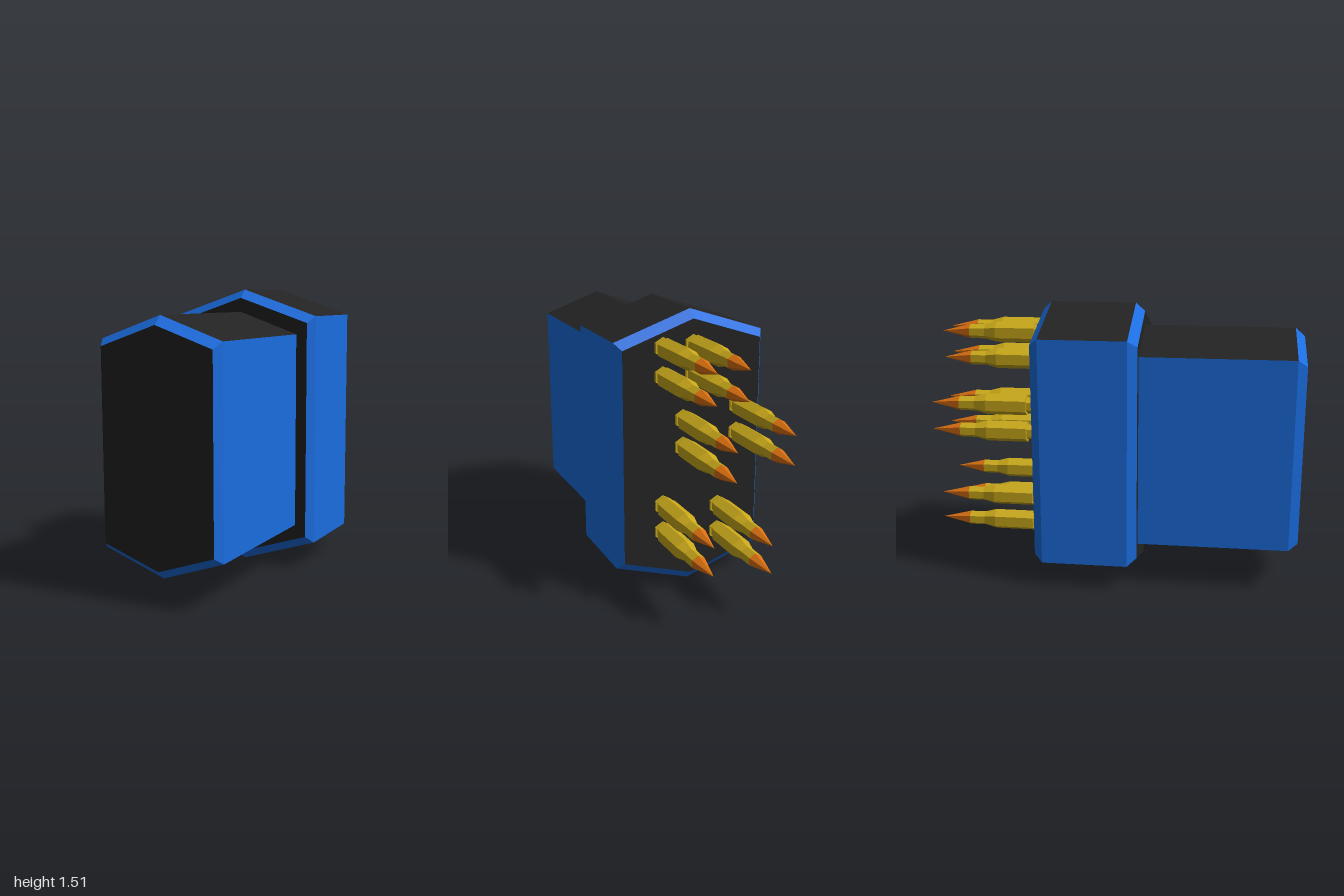
import * as THREE from 'three';

const mat = (color) => new THREE.MeshStandardMaterial({ color, flatShading: true });
const blue = mat(0x1a6de0), dark = mat(0x232323), brass = mat(0xc9a81a), orange = mat(0xd96f10);

// Tall hexagon, counter-clockwise seen from the front
const hexagon = (w, low, shoulderLow, shoulderHigh, high, z) => [
  [0, low, z], [w, shoulderLow, z], [w, shoulderHigh, z],
  [0, high, z], [-w, shoulderHigh, z], [-w, shoulderLow, z],
];

// Joins cross-sections from back to front; blue sides and bevels, dark slopes and caps
function hexBlock(name, rings, bodyIndex) {
  const bluePos = [], darkPos = [];
  const quad = (out, a, b, c, d) => out.push(...a, ...b, ...c, ...a, ...c, ...d);
  for (let r = 0; r < rings.length - 1; r++) {
    for (let i = 0; i < 6; i++) {
      const j = (i + 1) % 6;
      const isSide = i === 1 || i === 4;
      const out = r !== bodyIndex || isSide ? bluePos : darkPos;
      quad(out, rings[r][i], rings[r][j], rings[r + 1][j], rings[r + 1][i]);
    }
  }
  const f = rings[rings.length - 1], b = rings[0];
  for (const k of [0, 3]) {
    quad(darkPos, f[k], f[k + 1], f[k + 2], f[(k + 3) % 6]);
    quad(darkPos, b[(k + 3) % 6], b[k + 2], b[k + 1], b[k]);
  }
  const group = new THREE.Group();
  group.name = name;
  for (const [part, pos, material] of [['Panels', bluePos, blue], ['Shell', darkPos, dark]]) {
    const g = new THREE.BufferGeometry();
    g.setAttribute('position', new THREE.Float32BufferAttribute(pos, 3));
    g.computeVertexNormals();
    const mesh = new THREE.Mesh(g, material);
    mesh.name = name + part;
    group.add(mesh);
  }
  return group;
}

// Six-sided turned part, its axis laid towards the back
const turned = (profile) => new THREE.LatheGeometry(
  profile.map(([r, d]) => new THREE.Vector2(r, d)), 6).rotateX(-Math.PI / 2);

export function createModel() {
  const model = new THREE.Group();
  model.name = 'cartridgeBlock';

  // Wide block at the back, bevelled at both ends
  model.add(hexBlock('wideBlock', [
    hexagon(0.39, 0.05, 0.18, 1.335, 1.465, -0.42),
    hexagon(0.42, 0, 0.14, 1.37, 1.51, -0.375),
    hexagon(0.42, 0, 0.14, 1.37, 1.51, 0.09),
    hexagon(0.39, 0.05, 0.18, 1.335, 1.465, 0.14),
  ], 1));

  // Narrow block at the front, bevelled at its front end
  model.add(hexBlock('narrowBlock', [
    hexagon(0.33, 0.125, 0.24, 1.275, 1.39, 0.1),
    hexagon(0.33, 0.125, 0.24, 1.275, 1.39, 0.95),
    hexagon(0.305, 0.17, 0.275, 1.24, 1.345, 1),
  ], 0));

  // Cartridge: rim, groove, case, shoulder and neck, then the pointed tip
  const caseGeometry = turned([
    [0, 0.41], [0.052, 0.41], [0.052, 0.435], [0.042, 0.435], [0.042, 0.47],
    [0.0575, 0.47], [0.0575, 0.69], [0.04, 0.755], [0.04, 0.84],
  ]);
  const tipGeometry = turned([[0.04, 0.84], [0, 1]]);

  // Vertical pairs on the back face: x and height of the upper one
  const pairs = [[0.17, 1.335], [0, 1.335], [0.055, 0.945], [-0.26, 0.985], [0.17, 0.485], [-0.155, 0.43]];
  for (const [x, top] of pairs) {
    for (const y of [top, top - 0.15]) {
      const cartridge = new THREE.Group();
      cartridge.name = 'cartridge';
      const body = new THREE.Mesh(caseGeometry, brass);
      body.name = 'cartridgeCase';
      const tip = new THREE.Mesh(tipGeometry, orange);
      tip.name = 'cartridgeTip';
      cartridge.add(body, tip);
      cartridge.position.set(x, y, 0);
      model.add(cartridge);
    }
  }
  return model;
}
